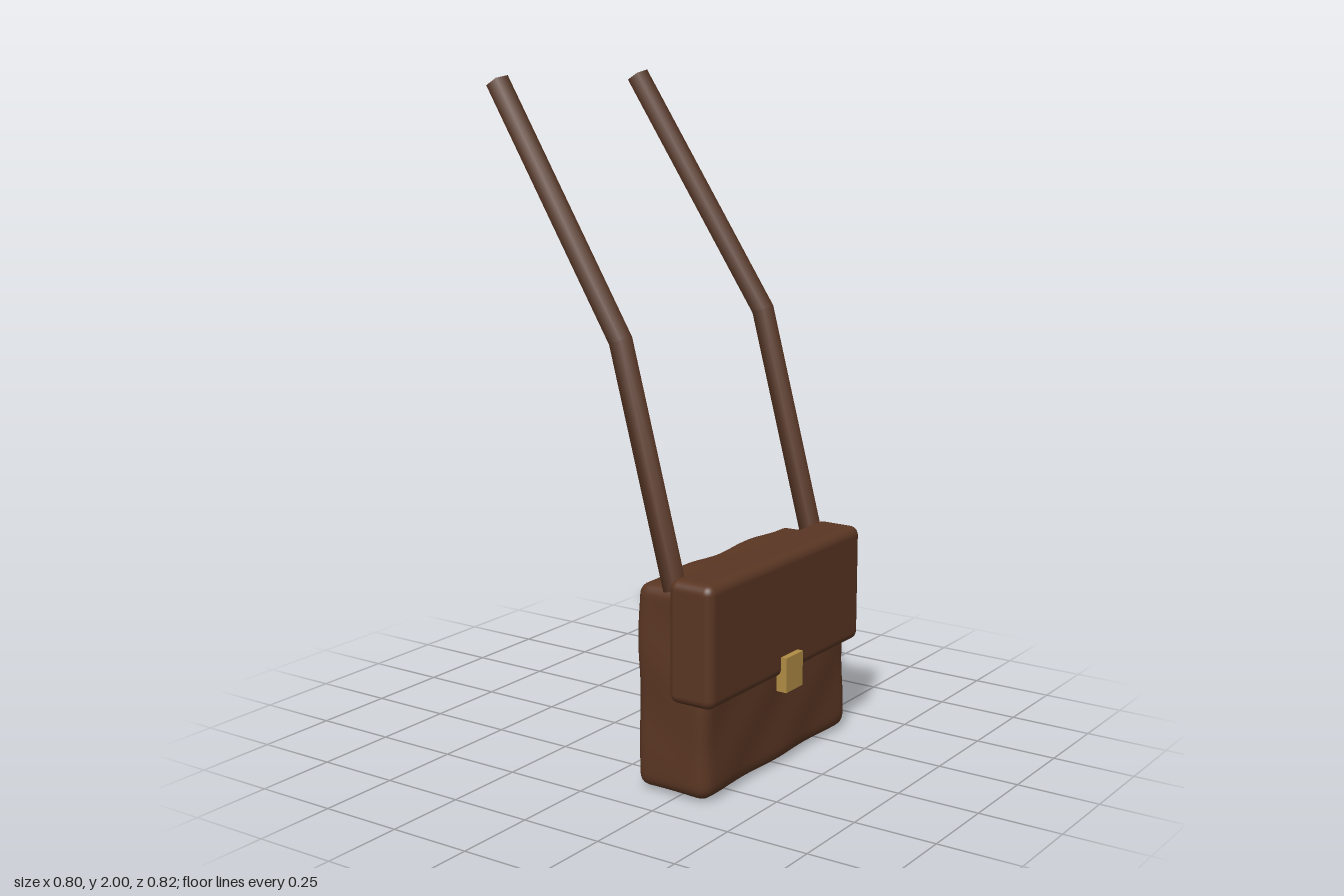
import * as THREE from 'three';
import { RoundedBoxGeometry } from 'three/addons/geometries/RoundedBoxGeometry.js';
import { mergeVertices } from 'three/addons/utils/BufferGeometryUtils.js';

const leather = new THREE.MeshStandardMaterial({ color: 0x5a3623, side: THREE.DoubleSide });
leather.name = 'brown leather';
const brass = new THREE.MeshStandardMaterial({ color: 0xb08c44 });
brass.name = 'brass';

// Rounded box with a slightly uneven, soft surface
function softBox(w, h, d, r, wobble) {
  let geo = new THREE.BoxGeometry(w, h, d, 20, 40, 48);
  geo.deleteAttribute('uv');
  geo.deleteAttribute('normal');
  geo = mergeVertices(geo);
  const pos = geo.attributes.position;
  const half = new THREE.Vector3(w / 2 - r, h / 2 - r, d / 2 - r);
  const p = new THREE.Vector3();
  const core = new THREE.Vector3();
  for (let i = 0; i < pos.count; i++) {
    p.fromBufferAttribute(pos, i);
    core.copy(p).clamp(half.clone().negate(), half);
    const n = p.clone().sub(core).normalize();
    const bump = Math.sin(p.z * 19 + p.y * 5) * Math.sin(p.y * 17 + p.x * 14 + 1);
    p.copy(core).addScaledVector(n, r + wobble * bump);
    pos.setXYZ(i, p.x, p.y, p.z);
  }
  geo.computeVertexNormals();
  return geo;
}

// Open five-sided tube along a path, mitred at the bends
function strapGeometry(path, r) {
  const sides = 5;
  const verts = [];
  const index = [];
  const zAxis = new THREE.Vector3(0, 0, 1);
  path.forEach((p, i) => {
    const a = path[Math.max(i - 1, 0)];
    const b = path[Math.min(i + 1, path.length - 1)];
    const before = (i ? p.clone().sub(a) : b.clone().sub(p)).normalize();
    const after = (b !== p ? b.clone().sub(p) : p.clone().sub(a)).normalize();
    const tangent = before.clone().add(after).normalize();
    const u = new THREE.Vector3().crossVectors(tangent, zAxis).normalize();
    const v = new THREE.Vector3().crossVectors(u, tangent).normalize();
    const mitre = 1 / tangent.dot(before);
    for (let k = 0; k < sides; k++) {
      const t = (k / sides) * Math.PI * 2;
      const q = p.clone()
        .addScaledVector(u, Math.sin(t) * r * mitre)
        .addScaledVector(v, -Math.cos(t) * r);
      verts.push(q.x, q.y, q.z);
      if (i) {
        const c = i * sides + k;
        const d = i * sides + (k + 1) % sides;
        index.push(c - sides, d - sides, d, c - sides, d, c);
      }
    }
  });
  const geo = new THREE.BufferGeometry();
  geo.setAttribute('position', new THREE.Float32BufferAttribute(verts, 3));
  geo.setIndex(index);
  geo.computeVertexNormals();
  return geo;
}

export function createModel() {
  const group = new THREE.Group();
  const add = (name, geo, mat, x = 0, y = 0, z = 0) => {
    const mesh = new THREE.Mesh(geo, mat);
    mesh.name = name;
    mesh.position.set(x, y, z);
    group.add(mesh);
  };

  // Bag
  add('bagBody', softBox(0.242, 0.608, 0.782, 0.04, 0.004), leather, 0.232, 0.313, 0);
  add('frontFlap', new RoundedBoxGeometry(0.147, 0.357, 0.82, 5, 0.028), leather, 0.31, 0.467, 0);

  // Clasp
  add('clasp', new THREE.BoxGeometry(0.034, 0.105, 0.09), brass, 0.385, 0.298, 0);

  // Shoulder straps: one straight in z, the other leaning inwards above its bend
  const strap = (z, zTop) => strapGeometry([
    new THREE.Vector3(0.232, 0.605, z),
    new THREE.Vector3(0.05, 1.285, z),
    new THREE.Vector3(-0.374, 1.983, zTop),
  ], 0.035);
  add('leftStrap', strap(0.362, 0.362), leather);
  add('rightStrap', strap(-0.367, -0.307), leather);

  return group;
}
